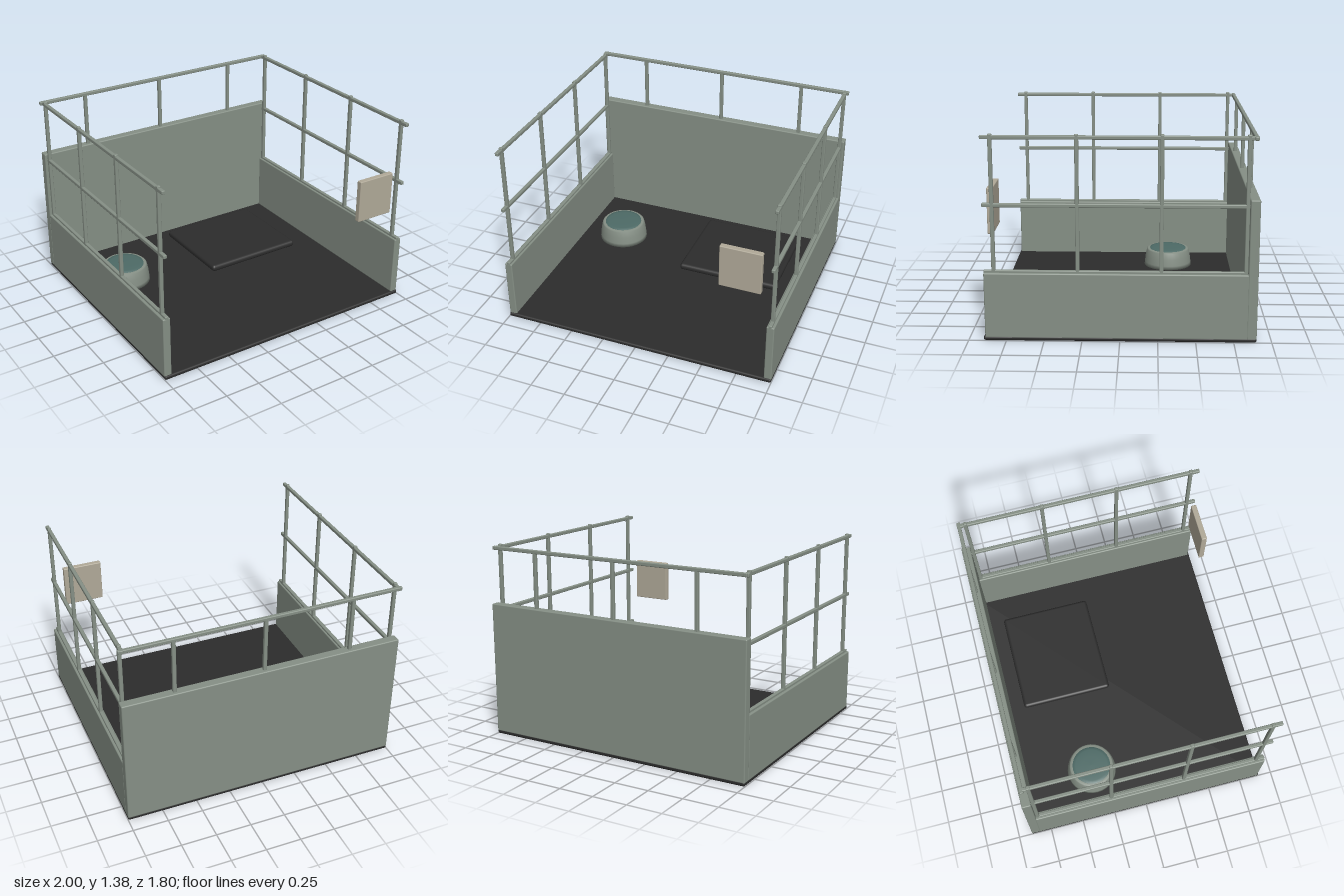
import * as THREE from 'three';
import { RoundedBoxGeometry } from 'three/addons/geometries/RoundedBoxGeometry.js';

export function createModel() {
  const model = new THREE.Group();
  model.name = 'balconyEnclosure';

  const material = (name, color) => {
    const m = new THREE.MeshStandardMaterial({ color });
    m.name = name;
    return m;
  };
  const green = material('greyGreenPaint', 0x858f85);
  const dark = material('darkFloor', 0x2c2c2c);
  const beige = material('beigePanel', 0xb0a998);
  const teal = material('tealGlass', 0x4d6a66);

  // Bevelled box given by its limits on each axis
  function box(name, mat, [x0, x1], [y0, y1], [z0, z1], bevel = 0.005, parent = model) {
    const geo = new RoundedBoxGeometry(x1 - x0, y1 - y0, z1 - z0, 2, bevel);
    const mesh = new THREE.Mesh(geo, mat);
    mesh.position.set((x0 + x1) / 2, (y0 + y1) / 2, (z0 + z1) / 2);
    mesh.name = name;
    parent.add(mesh);
    return mesh;
  }
  const around = (c, size = 0.026) => [c - size / 2, c + size / 2];

  // Floor, raised mat and back wall
  box('floor', dark, [-1, 1], [0, 0.03], [-0.9, 0.9], 0.012);
  box('floorMat', dark, [-0.03, 0.74], [0.04, 0.09], [-0.73, -0.04], 0.022);
  box('backWall', green, [-1, 1], [0.02, 0.965], [-0.9, -0.835], 0.008);

  // Low side walls with railings
  for (const side of [1, -1]) {
    const railing = new THREE.Group();
    railing.name = side > 0 ? 'leftSide' : 'rightSide';
    model.add(railing);
    const wallX = side > 0 ? [0.945, 1] : [-1, -0.945];
    const railX = around(0.97 * side);
    box('sideWall', green, wallX, [0.02, 0.465], [-0.84, 0.89], 0.008, railing);
    box('bottomRail', green, railX, around(0.468), [-0.83, 0.89], 0.006, railing);
    box('middleRail', green, railX, around(0.917), [-0.84, 0.89], 0.006, railing);
    box('topRail', green, railX, around(1.36), [-0.88, 0.89], 0.006, railing);
    for (const z of [0.825, 0.275, -0.27, -0.82]) {
      box('sidePost', green, railX, [0.46, 1.382], around(z), 0.006, railing);
    }
  }

  // Railing above the back wall
  box('backRail', green, [-0.995, 0.995], around(1.36), around(-0.865), 0.006);
  for (const x of [-0.632, 0, 0.632]) {
    box('backPost', green, around(x), [0.95, 1.36], around(-0.865), 0.006);
  }

  // Control panel beside the front opening
  box('panel', beige, [0.6, 0.89], [0.7, 1.01], [0.83, 0.87], 0.006);

  // Round pedestal with a shallow glass top
  const pedestal = new THREE.Group();
  pedestal.name = 'pedestal';
  pedestal.position.set(-0.635, 0, -0.34);
  model.add(pedestal);
  const profile = [[0, 0.03], [0.187, 0.03], [0.184, 0.06], [0.178, 0.11], [0.168, 0.158], [0.16, 0.166], [0.14, 0.166]]
    .map(([r, y]) => new THREE.Vector2(r, y));
  const base = new THREE.Mesh(new THREE.LatheGeometry(profile, 32), green);
  base.name = 'pedestalBase';
  pedestal.add(base);
  const dome = [[0.145, 0.16], [0.143, 0.169], [0.12, 0.173], [0.07, 0.175], [0, 0.176]]
    .map(([r, y]) => new THREE.Vector2(r, y));
  const top = new THREE.Mesh(new THREE.LatheGeometry(dome, 32), teal);
  top.name = 'pedestalGlass';
  pedestal.add(top);

  return model;
}
